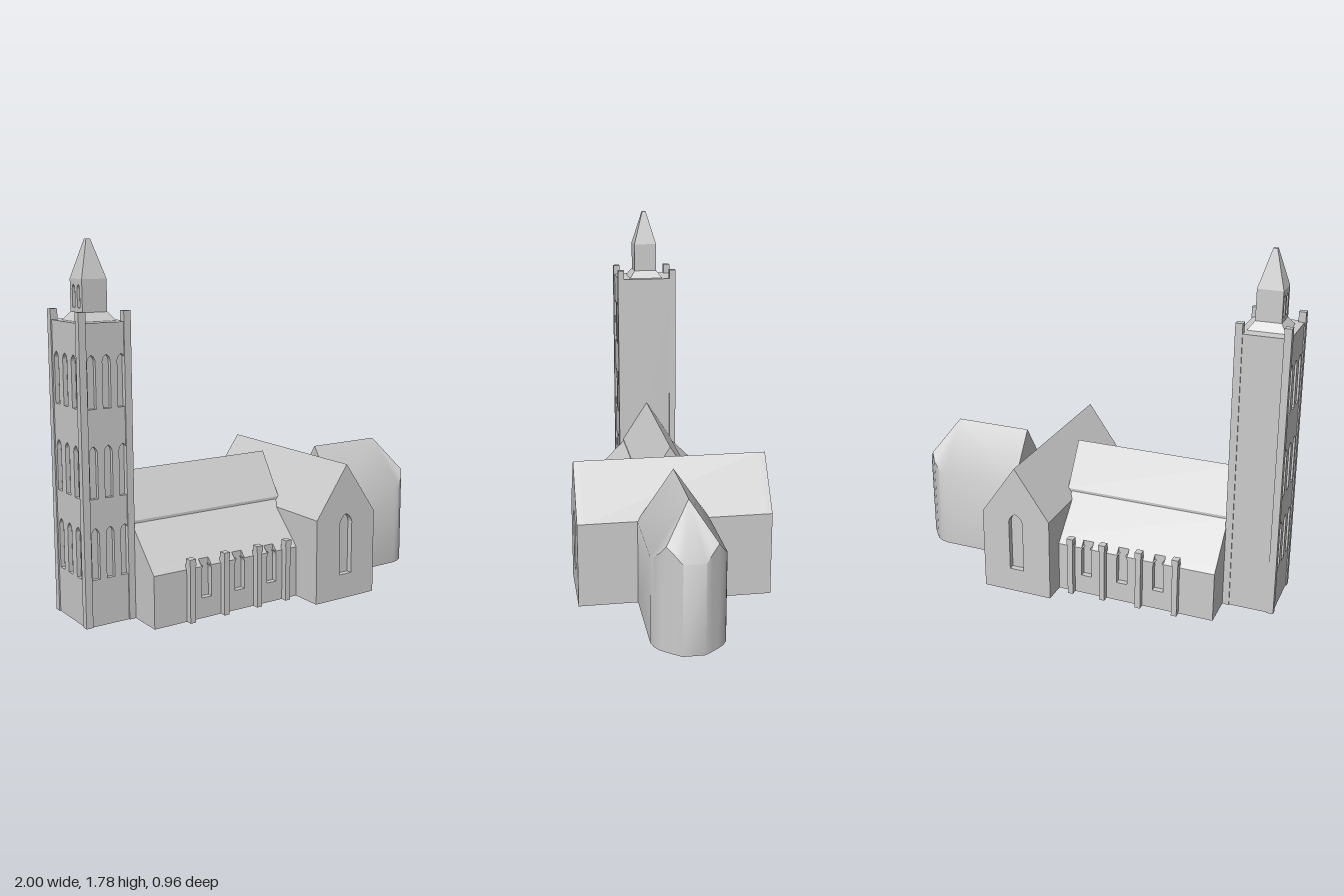
import * as THREE from 'three';
import { toCreasedNormals } from 'three/addons/utils/BufferGeometryUtils.js';

const stone = new THREE.MeshStandardMaterial({ color: 0xcccccc });
stone.name = 'stone';

function add(parent, name, geometry) {
  const mesh = new THREE.Mesh(geometry, stone);
  mesh.name = name;
  parent.add(mesh);
  return mesh;
}

// Box given by its limits
function box(parent, name, x0, x1, y0, y1, z0, z1) {
  const g = new THREE.BoxGeometry(x1 - x0, y1 - y0, z1 - z0);
  return add(parent, name, g.translate((x0 + x1) / 2, (y0 + y1) / 2, (z0 + z1) / 2));
}

const outline = (pts) => new THREE.Shape(pts.map(([x, y]) => new THREE.Vector2(x, y)));
const rect = (x0, x1, y0, y1) => outline([[x0, y0], [x1, y0], [x1, y1], [x0, y1]]);
const extrude = (shape, depth) =>
  new THREE.ExtrudeGeometry(shape, { depth, bevelEnabled: false, curveSegments: 5 });

// Profile of [z, y] points swept along x
function sweepX(parent, name, pts, x0, x1) {
  const g = extrude(outline(pts.map(([z, y]) => [-z, y])), x1 - x0);
  return add(parent, name, g.rotateY(Math.PI / 2).translate(x0, 0, 0));
}

// Lancet window opening
function lancet(cx, y0, y1, w, rise) {
  const p = new THREE.Path(), h = w / 2;
  p.moveTo(cx - h, y0);
  p.lineTo(cx + h, y0);
  p.lineTo(cx + h, y1 - rise);
  p.quadraticCurveTo(cx + h * 0.85, y1 - rise * 0.3, cx, y1);
  p.quadraticCurveTo(cx - h * 0.85, y1 - rise * 0.3, cx - h, y1 - rise);
  return p;
}

function buildTower() {
  const tower = new THREE.Group();
  tower.name = 'tower';
  const top = 1.41;
  box(tower, 'towerCore', -0.974, -0.746, 0, top, -0.189, 0.109);

  // Front and west walls with three rows of recessed windows
  const front = rect(-0.974, -0.746, 0, top);
  const west = rect(-0.189, 0.129, 0, top);
  for (const y of [0.225, 0.607, 1.022]) {
    for (const i of [-1, 0, 1]) {
      front.holes.push(lancet(-0.865 + i * 0.075, y, y + 0.245, 0.04, 0.03));
      west.holes.push(lancet(-0.03 + i * 0.09, y, y + 0.245, 0.045, 0.03));
    }
  }
  add(tower, 'towerFrontWall', extrude(front, 0.02).translate(0, 0, 0.109));
  add(tower, 'towerWestWall', extrude(west, 0.02).rotateY(-Math.PI / 2).translate(-0.974, 0, 0));

  // Corner posts
  for (const x of [-1, -0.775])
    for (const z of [-0.195, 0.1])
      box(tower, 'cornerPost', x, x + 0.035, 0, 1.46, z, z + 0.035);

  // Spire: flared foot, square shaft, pyramid
  const tier = (name, r0, r1, y0, y1) => {
    const g = new THREE.CylinderGeometry(r1 * Math.SQRT2, r0 * Math.SQRT2, y1 - y0, 4).rotateY(Math.PI / 4);
    add(tower, name, toCreasedNormals(g.translate(-0.867, (y0 + y1) / 2, -0.03), 0.3));
  };
  tier('spireFoot', 0.092, 0.062, top, 1.45);
  box(tower, 'spireShaft', -0.917, -0.805, 1.45, 1.6, -0.092, 0.032);
  tier('spireRoof', 0.062, 0.01, 1.6, 1.78);
  const louvre = rect(-0.092, 0.032, 1.45, 1.6);
  for (const z of [-0.055, -0.005]) louvre.holes.push(lancet(z, 1.47, 1.575, 0.026, 0.02));
  add(tower, 'spireWestWall', extrude(louvre, 0.012).rotateY(-Math.PI / 2).translate(-0.917, 0, 0));
  return tower;
}

function buildNave() {
  const nave = new THREE.Group();
  nave.name = 'nave';
  nave.position.z = -0.025;
  const x0 = -0.742, x1 = 0.09;
  sweepX(nave, 'aisles', [[-0.31, 0], [0.31, 0], [0.31, 0.285], [0.138, 0.457], [-0.138, 0.457], [-0.31, 0.285]], x0, x1);
  sweepX(nave, 'naveRoof', [[-0.138, 0.44], [0.138, 0.44], [0.138, 0.47], [0, 0.685], [-0.138, 0.47]], x0, 0.11);

  const windows = [-0.457, -0.267, -0.077], half = 0.0275;
  for (const s of [-1, 1]) {
    // Outer wall piers between the window recesses, with sills below
    const edges = [x0, ...windows.flatMap((x) => [x - half, x + half]), x1];
    for (let i = 0; i < edges.length; i += 2)
      sweepX(nave, 'aislePier', [[s * 0.31, 0], [s * 0.34, 0], [s * 0.34, 0.255], [s * 0.31, 0.285]], edges[i], edges[i + 1]);
    for (const x of windows) {
      box(nave, 'windowSill', x - half, x + half, 0, 0.1, s > 0 ? 0.31 : -0.34, s > 0 ? 0.34 : -0.31);
      // Rounded corners of the window heads
      for (const t of [-1, 1]) {
        const c = new THREE.Shape();
        c.moveTo(x + t * half, 0.235);
        c.quadraticCurveTo(x + t * half * 0.95, 0.25, x + t * half * 0.65, 0.257);
        c.lineTo(x + t * half, 0.257);
        add(nave, 'windowHead', extrude(c, 0.03).translate(0, 0, s > 0 ? 0.31 : -0.34));
      }
    }
    // Buttresses with caps
    for (const x of [-0.553, -0.363, -0.172, 0]) {
      box(nave, 'buttress', x - 0.014, x + 0.014, 0, 0.28, s > 0 ? 0.33 : -0.372, s > 0 ? 0.372 : -0.33);
      box(nave, 'buttressCap', x - 0.017, x + 0.017, 0.28, 0.31, s > 0 ? 0.338 : -0.375, s > 0 ? 0.375 : -0.338);
    }
  }
  return nave;
}

function buildTransept() {
  const transept = new THREE.Group();
  transept.name = 'transept';
  const gable = () => outline([[0.075, 0], [0.44, 0], [0.44, 0.425], [0.258, 0.685], [0.075, 0.425]]);
  add(transept, 'transeptBody', extrude(gable(), 0.9).translate(0, 0, -0.45));
  const end = gable();
  end.holes.push(lancet(0.258, 0.125, 0.435, 0.075, 0.045));
  for (const z of [-0.48, 0.45])
    add(transept, 'gableWall', extrude(end, 0.03).translate(0, 0, z));
  return transept;
}

// Choir with rounded east end: a footprint cut off by three sloping roof planes
function buildChoir() {
  const cz = 0.012, ridge = 0.68, apexX = 0.835;
  const half = [[0.425, 0.176], [0.85, 0.176], [0.89, 0.166], [0.925, 0.145], [0.949, 0.118], [0.975, 0.085], [1, 0.052]];
  const foot = [...half, ...half.slice().reverse().map(([x, z]) => [x, -z])];
  const roofY = (x, z) => ridge - Math.max(1.46 * Math.abs(z), 1.46 * (x - apexX));
  const low = foot.map(([x, z]) => [x, 0, z + cz]);
  const high = foot.map(([x, z]) => [x, roofY(x, z), z + cz]);
  const apex = [apexX, ridge, cz], start = [0.425, ridge, cz];
  const v = [];
  const tri = (...p) => p.forEach((q) => v.push(...q));
  const n = foot.length;
  for (let i = 0; i < n - 1; i++) {
    const j = i + 1;
    tri(low[i], low[j], high[j]);
    tri(low[i], high[j], high[i]);
    tri(high[i], high[j], apex);
    if (i > 0) tri(low[0], low[j], low[i]);
  }
  tri(high[0], apex, start);
  tri(high[n - 1], start, apex);
  // West gable end
  tri(low[n - 1], low[0], high[0]);
  tri(low[n - 1], high[0], high[n - 1]);
  tri(high[n - 1], high[0], start);
  const g = new THREE.BufferGeometry();
  g.setAttribute('position', new THREE.Float32BufferAttribute(v, 3));
  const group = new THREE.Group();
  group.name = 'choir';
  add(group, 'apse', toCreasedNormals(g, 0.72));
  return group;
}

export function createModel() {
  const model = new THREE.Group();
  model.name = 'church';
  model.add(buildTower(), buildNave(), buildTransept(), buildChoir());
  return model;
}
